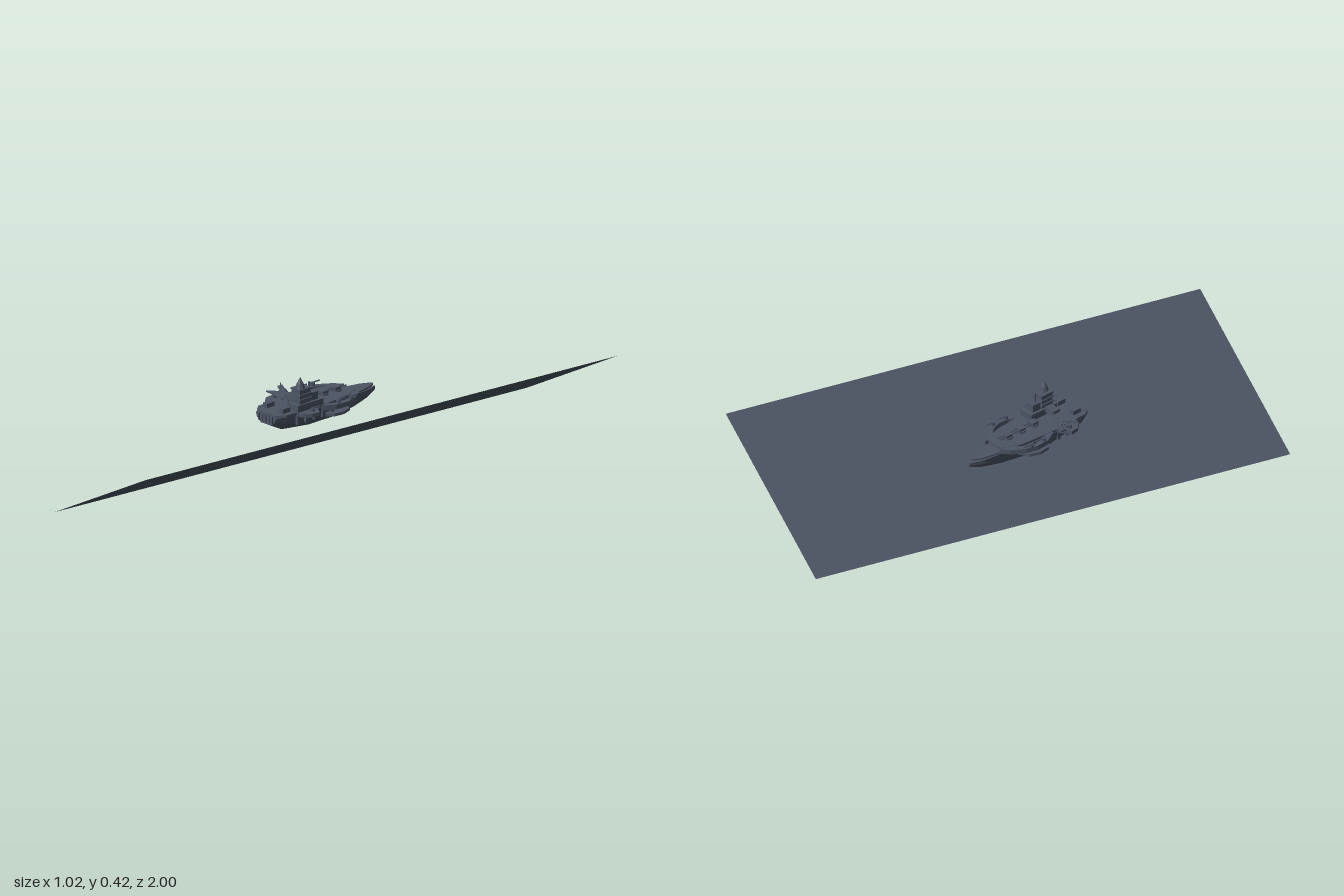
import * as THREE from 'three';

export function createModel() {
  const slate = new THREE.MeshStandardMaterial({ color: 0x4c5464, side: THREE.DoubleSide, flatShading: true });
  slate.name = 'slate';
  const model = new THREE.Group();
  model.name = 'shipOverPlane';

  const add = (parent, name, geometry, x = 0, y = 0, z = 0) => {
    const mesh = new THREE.Mesh(geometry, slate);
    mesh.name = name;
    mesh.position.set(x, y, z);
    parent.add(mesh);
    return mesh;
  };
  const quads = (points, index) => {
    const g = new THREE.BufferGeometry();
    g.setAttribute('position', new THREE.Float32BufferAttribute(points, 3));
    g.setIndex(index);
    g.computeVertexNormals();
    return g;
  };

  // Large tilted ground sheet
  add(model, 'tiltedPlane', quads(
    [-0.11, 0.105, -1, 0.51, 0.42, -0.845, 0.11, 0.315, 1, -0.51, 0, 0.845],
    [0, 2, 1, 0, 3, 2]));

  // Ship, bow towards -z
  const ship = new THREE.Group();
  ship.name = 'ship';
  ship.position.x = -0.127;
  model.add(ship);

  const box = (name, w, h, d, x, y, z) => add(ship, name, new THREE.BoxGeometry(w, h, d), x, y, z);
  const rod = (name, r, h, x, y, z, top = r) =>
    add(ship, name, new THREE.CylinderGeometry(top, r, h, 8), x, y, z);
  // Plan outline given as [x, z] points, extruded upwards from y
  const slab = (name, points, y, height, hole) => {
    const v = (list) => list.map(([x, z]) => new THREE.Vector2(x, -z));
    const shape = new THREE.Shape(v(points));
    if (hole) shape.holes.push(new THREE.Path(v(hole)));
    const g = new THREE.ExtrudeGeometry(shape, { depth: height, bevelEnabled: false });
    return add(ship, name, g.rotateX(-Math.PI / 2), 0, y, 0);
  };
  const mirrored = (half) => [...half, ...half.map(([x, z]) => [-x, z]).reverse()];

  // Hull lofted from stern to bow: z, deck half width, keel half width, deck y, keel y
  const sections = [
    [0.21, 0.05, 0.025, 0.295, 0.265],
    [0.17, 0.07, 0.035, 0.3, 0.245],
    [0.05, 0.08, 0.042, 0.3, 0.235],
    [-0.08, 0.07, 0.04, 0.295, 0.235],
    [-0.18, 0.042, 0.025, 0.29, 0.24],
    [-0.25, 0.028, 0.012, 0.285, 0.25],
    [-0.3, 0.003, 0.002, 0.28, 0.265]
  ];
  const points = [], index = [], n = 6;
  sections.forEach(([z, w, k, top, low], s) => {
    const mid = low + (top - low) * 0.5;
    [[-w, top], [-w * 0.88, mid], [-k, low], [k, low], [w * 0.88, mid], [w, top]]
      .forEach(([x, y]) => points.push(x, y, z));
    if (s === 0) return;
    for (let i = 0; i < n; i++) {
      const a = (s - 1) * n + i, b = (s - 1) * n + (i + 1) % n;
      index.push(a, a + n, b, b, a + n, b + n);
    }
  });
  const last = (sections.length - 1) * n;
  for (let i = 1; i < n - 1; i++) {
    index.push(0, i, i + 1, last, last + i + 1, last + i);
  }
  add(ship, 'hull', quads(points, index).toNonIndexed());

  // Deck plates
  slab('mainDeck', mirrored([[0.045, 0.21], [0.07, 0.18], [0.075, 0.02], [0.065, -0.1], [0.035, -0.18]]), 0.297, 0.009);
  slab('foredeck', mirrored([[0.034, -0.15], [0.034, -0.2], [0.022, -0.255], [0.004, -0.29]]), 0.287, 0.006);

  // Curved side arms with openings, lower fins, guns and railings
  for (const s of [-1, 1]) {
    const m = (list) => list.map(([x, z]) => [s * x, z]);
    slab('sideArm', m([[0.035, -0.19], [0.065, -0.165], [0.095, -0.12], [0.108, -0.075], [0.104, -0.025], [0.08, 0.02], [0.06, 0.02]]),
      0.288, 0.017, m([[0.06, -0.135], [0.08, -0.105], [0.089, -0.075], [0.086, -0.035], [0.07, -0.01]]));
    slab('lowerFin', m([[0.05, -0.12], [0.09, -0.1], [0.104, -0.06], [0.1, -0.02], [0.06, 0.02]]), 0.262, 0.01);
    slab('sternWing', m([[0.06, 0.03], [0.105, 0.06], [0.12, 0.07], [0.116, 0.1], [0.095, 0.125], [0.06, 0.135]]), 0.292, 0.013);
    for (const z of [-0.1, -0.04, 0.08]) {
      rod('gunMount', 0.008, 0.012, s * 0.096, 0.31, z);
      const barrel = rod('gunBarrel', 0.0025, 0.035, s * 0.096, 0.316, z - 0.015);
      barrel.rotation.x = Math.PI / 2;
    }
    for (let i = 0; i < 5; i++) box('hullRib', 0.008, 0.035, 0.012, s * 0.074, 0.28, -0.03 + i * 0.04);
    box('sternBlock', 0.02, 0.02, 0.035, s * 0.04, 0.312, 0.16);
  }

  // Raised launch platform on the ship's right side
  slab('launchPlatform', [[-0.123, 0.02], [-0.03, 0.065], [0.01, 0.065], [0.01, 0.1], [-0.04, 0.11], [-0.115, 0.1], [-0.075, 0.065], [-0.123, 0.04]], 0.325, 0.005);
  for (const [x, z] of [[-0.09, 0.06], [-0.06, 0.08], [-0.02, 0.085]]) rod('platformPost', 0.004, 0.03, x, 0.312, z);
  for (const [x, z] of [[-0.118, 0.03], [-0.1, 0.04], [-0.06, 0.06]]) rod('platformLamp', 0.002, 0.012, x, 0.334, z);
  box('platformCabin', 0.045, 0.012, 0.03, -0.005, 0.335, 0.085);

  // Bridge tower with stepped spire
  box('bridgeBase', 0.055, 0.025, 0.12, 0.048, 0.317, 0.07);
  box('bridgeTower', 0.042, 0.05, 0.05, 0.048, 0.352, 0.09);
  box('bridgeRoof', 0.048, 0.005, 0.056, 0.048, 0.379, 0.09);
  box('forwardBridge', 0.035, 0.03, 0.035, 0.048, 0.342, 0.045);
  rod('spireLower', 0.017, 0.02, 0.052, 0.39, 0.098, 0.012);
  rod('spireUpper', 0.011, 0.015, 0.052, 0.405, 0.098, 0.005);
  rod('spireTip', 0.004, 0.012, 0.052, 0.416, 0.098, 0.001);
  for (const y of [0.345, 0.362]) box('bridgeLedge', 0.052, 0.004, 0.058, 0.048, y, 0.09);
  rod('forwardMast', 0.003, 0.04, 0.045, 0.372, 0.05);

  // Deck turrets along the centreline
  for (const z of [-0.12, -0.06, 0]) {
    rod('turretBase', 0.018, 0.01, 0, 0.308, z);
    box('turret', 0.024, 0.01, 0.026, 0, 0.317, z);
    for (const x of [-0.006, 0.006]) {
      rod('turretBarrel', 0.002, 0.035, x, 0.318, z - 0.025).rotation.x = Math.PI / 2;
    }
  }

  // Stern gallery
  box('sternGallery', 0.075, 0.022, 0.02, 0, 0.285, 0.2);
  for (let i = -2; i <= 2; i++) box('galleryPillar', 0.005, 0.026, 0.006, i * 0.016, 0.286, 0.211);

  return model;
}
